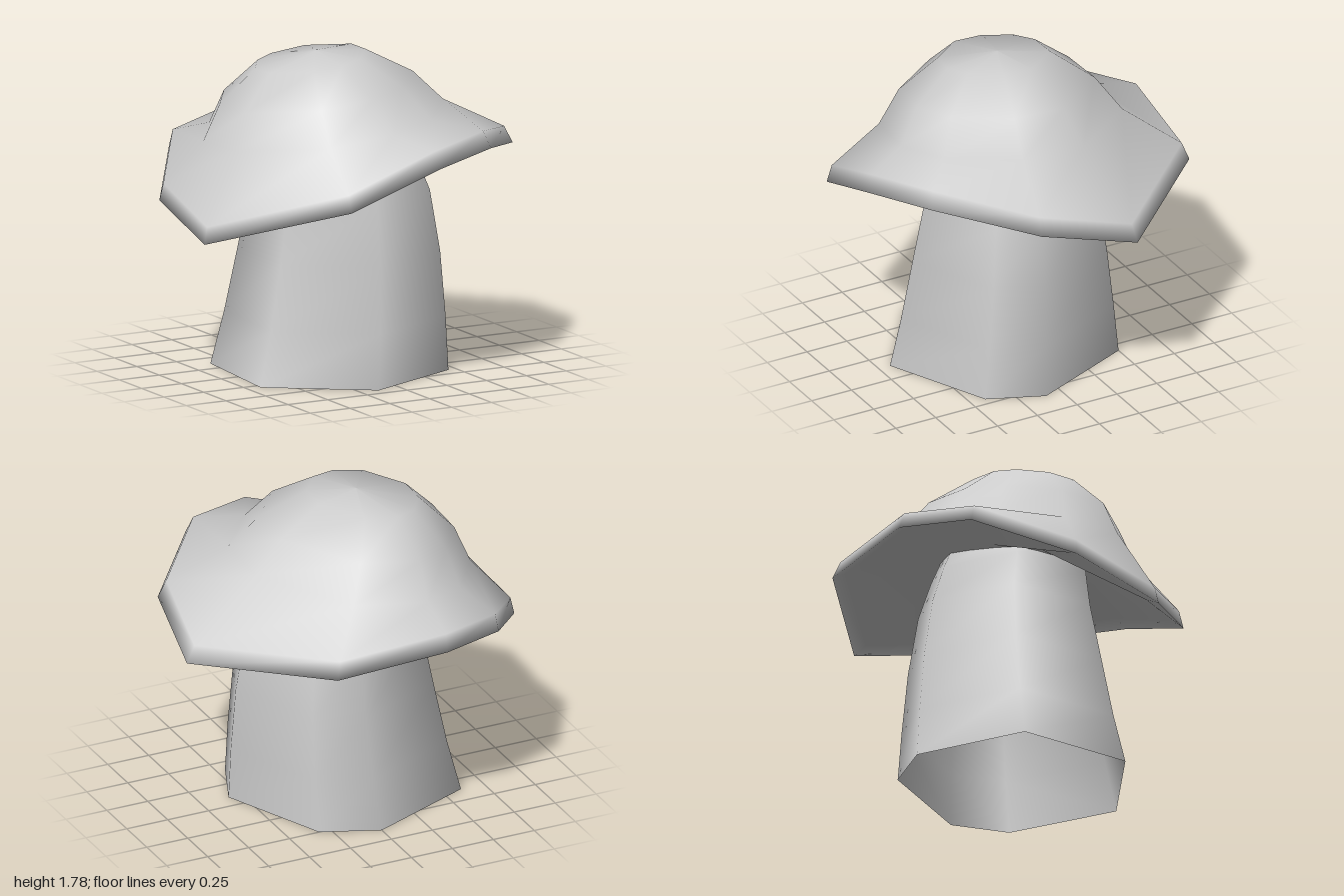
import * as THREE from 'three';

const material = () => new THREE.MeshStandardMaterial({ color: 0xcccccc, side: THREE.DoubleSide });

// Smooth skin through closed rings of [x, y, z] points, listed from bottom to top
function loft(name, rings) {
  const n = rings[0].length, index = [];
  for (let r = 0; r < rings.length - 1; r++) {
    for (let i = 0; i < n; i++) {
      const j = (i + 1) % n, a = r * n + i, b = r * n + j;
      index.push(a, a + n, b, b, a + n, b + n);
    }
  }
  const geometry = new THREE.BufferGeometry();
  geometry.setAttribute('position', new THREE.Float32BufferAttribute(rings.flat(2), 3));
  geometry.setIndex(index);
  geometry.computeVertexNormals();
  const mesh = new THREE.Mesh(geometry, material());
  mesh.name = name;
  return mesh;
}

export function createModel() {
  const group = new THREE.Group();
  group.name = 'mushroom';

  // Stem: seven-sided foot, tapering upward and leaning; open at both ends
  const foot = [[0.58, 0.1], [0.45, 0.41], [-0.14, 0.68], [-0.67, 0.3], [-0.61, -0.37], [0, -0.63], [0.32, -0.5]];
  const stemRings = [ // height, scale, shift in x
    [0, 1, 0], [0.3, 0.93, 0.03], [0.66, 0.85, 0.05], [1.0, 0.755, 0.05], [1.2, 0.68, 0.01], [1.36, 0.6, -0.03],
  ].map(([y, s, dx]) => foot.map(([x, z]) => [x * s + dx, y, z * s]));
  group.add(loft('stem', stemRings));

  // Cap: uneven ten-sided rim
  const rim = [
    [1.0, 1.07, -0.24], [0.91, 1.21, 0.31], [0.51, 1.31, 0.78], [0.1, 1.27, 0.95], [-0.44, 1.07, 0.91],
    [-1.0, 0.83, 0.26], [-0.97, 0.97, -0.3], [-0.64, 1.15, -0.78], [-0.24, 1.19, -0.96], [0.4, 1.13, -0.9],
  ];
  const offsetRim = (s, dx, dy) => rim.map(([x, y, z]) => [x * s + dx, y + dy, z * s]);
  // Round ring with its centre at (cx, cy), tilted up toward +x
  const dome = (cx, cy, r, tilt) => rim.map(([x, , z]) => {
    const a = Math.atan2(z, x), px = Math.cos(a) * r, pz = Math.sin(a) * r;
    return [cx + px, cy + px * tilt + pz * 0.03, pz];
  });
  group.add(loft('cap', [
    dome(-0.03, 1.34, 0, 0), // underside
    dome(-0.03, 1.29, 0.45, 0.13),
    offsetRim(0.92, 0, 0.04), // lip
    rim,
    offsetRim(0.965, -0.015, 0.095),
    dome(-0.11, 1.39, 0.67, 0.13), // crown
    dome(-0.155, 1.575, 0.54, 0.13),
    dome(-0.19, 1.74, 0.31, 0.13),
    dome(-0.15, 1.785, 0, 0),
  ]));
  return group;
}
